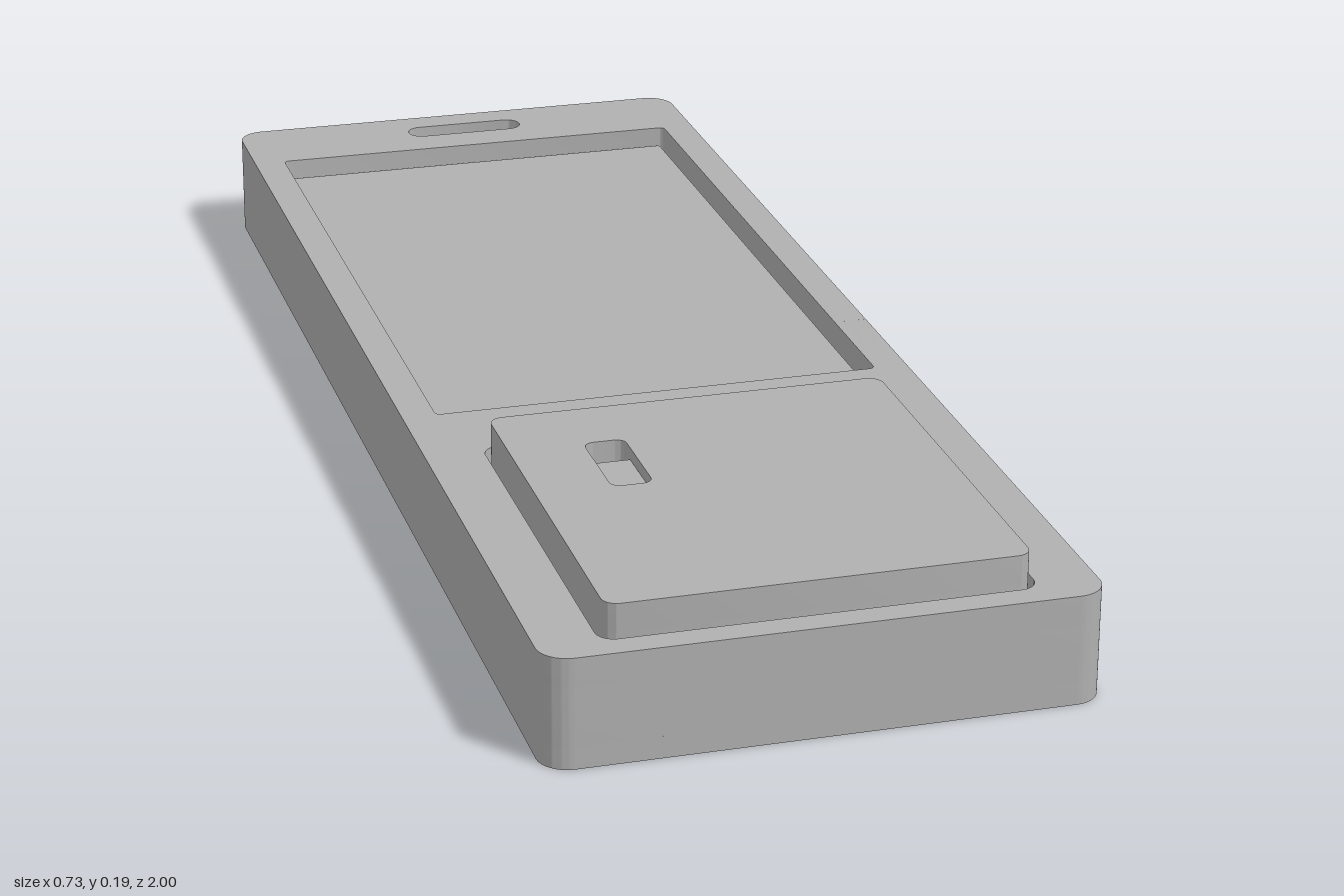
import * as THREE from 'three';
import { toCreasedNormals } from 'three/addons/utils/BufferGeometryUtils.js';

// Rounded rectangle centred on (cx, cy)
function roundRect(w, h, r, cx = 0, cy = 0, P = THREE.Shape) {
  const p = new P(), a = w / 2 - r, b = h / 2 - r, q = Math.PI / 2;
  p.absarc(cx + a, cy + b, r, 0, q);
  p.absarc(cx - a, cy + b, r, q, 2 * q);
  p.absarc(cx - a, cy - b, r, 2 * q, 3 * q);
  p.absarc(cx + a, cy - b, r, 3 * q, 4 * q);
  p.closePath();
  return p;
}
const rectHole = (w, h, r, cx, cy) => roundRect(w, h, r, cx, cy, THREE.Path);
const roundHole = (x, y, r) => new THREE.Path().absarc(x, y, r, 0, Math.PI * 2);

export function createModel() {
  const group = new THREE.Group();
  const grey = new THREE.MeshStandardMaterial({ color: 0xb0b0b0 });
  grey.name = 'plastic grey';

  const extrude = (name, shape, depth) => {
    const geo = new THREE.ExtrudeGeometry(shape, { depth, bevelEnabled: false, curveSegments: 10 });
    const mesh = new THREE.Mesh(toCreasedNormals(geo, 0.6), grey);
    mesh.name = name;
    group.add(mesh);
    return mesh;
  };
  // Horizontal slab from y0 to y1; shape coordinates are (x, -z)
  const slab = (name, shape, y0, y1) => {
    const m = extrude(name, shape, y1 - y0);
    m.rotation.x = -Math.PI / 2;
    m.position.y = y0;
  };
  // Upright plate in the side wall from x0 to x1; shape coordinates are (-z, y)
  const sidePlate = (name, shape, x0, x1) => {
    const m = extrude(name, shape, x1 - x0);
    m.rotation.y = Math.PI / 2;
    m.position.x = x0;
  };

  const W = 0.363, H = 0.15, R = 0.04, floorY = 0.11;
  const portZ = 0.178, portY = 0.08, notch = 0.325;

  // Case outline with a notch for the side port and a through slot for the strap
  const outline = (...holes) => {
    const s = new THREE.Shape(), a = W - R, b = 1 - R, q = Math.PI / 2;
    s.absarc(a, b, R, 0, q);
    s.absarc(-a, b, R, q, 2 * q);
    s.absarc(-a, -b, R, 2 * q, 3 * q);
    s.absarc(a, -b, R, 3 * q, 4 * q);
    for (const [x, z] of [[W, 0.3], [notch, 0.3], [notch, 0.05], [W, 0.05]]) s.lineTo(x, -z);
    s.closePath();
    s.holes.push(rectHole(0.185, 0.045, 0.022, 0, 0.93), ...holes);
    return s;
  };

  // Case: base with screw holes, solid middle, top with screen and cover pockets
  const screws = [];
  for (const x of [-0.32, 0.32]) for (const z of [-0.955, 0.955]) screws.push(roundHole(x, -z, 0.023));
  const pins = [0.12, 0.235].map(z => roundHole(0.086, -z, 0.01));
  slab('caseBase', outline(...screws, ...pins), 0, 0.03);
  slab('caseMiddle', outline(), 0.03, floorY);
  slab('caseTop', outline(
    rectHole(0.632, 1.076, 0.008, 0, 0.308),
    rectHole(0.566, 0.606, 0.024, 0, -0.66)), floorY, H);

  // Recessed screen with a narrow gap around it
  slab('screen', roundRect(0.612, 1.056, 0.005, 0, 0.308), floorY, 0.123);

  // Raised cover with a slide switch sunk in a slot
  const cover = () => roundRect(0.55, 0.594, 0.02, 0, -0.66);
  const topCover = cover();
  topCover.holes.push(rectHole(0.056, 0.144, 0.014, -0.146, -0.549));
  slab('coverBase', cover(), floorY, 0.155);
  slab('coverTop', topCover, 0.155, 0.194);
  slab('slideSwitch', roundRect(0.055, 0.08, 0.002, -0.146, -0.549), 0.155, 0.178);

  // Side port: stadium recess around a shallow socket
  const wall = () => roundRect(0.25, H, 0.0001, -0.175, H / 2);
  const outer = wall(), inner = wall();
  outer.holes.push(rectHole(0.168, 0.095, 0.046, -portZ, portY));
  inner.holes.push(rectHole(0.122, 0.05, 0.014, -portZ, portY));
  sidePlate('portSocket', inner, notch, 0.345);
  sidePlate('portSurround', outer, 0.345, W);

  return group;
}
